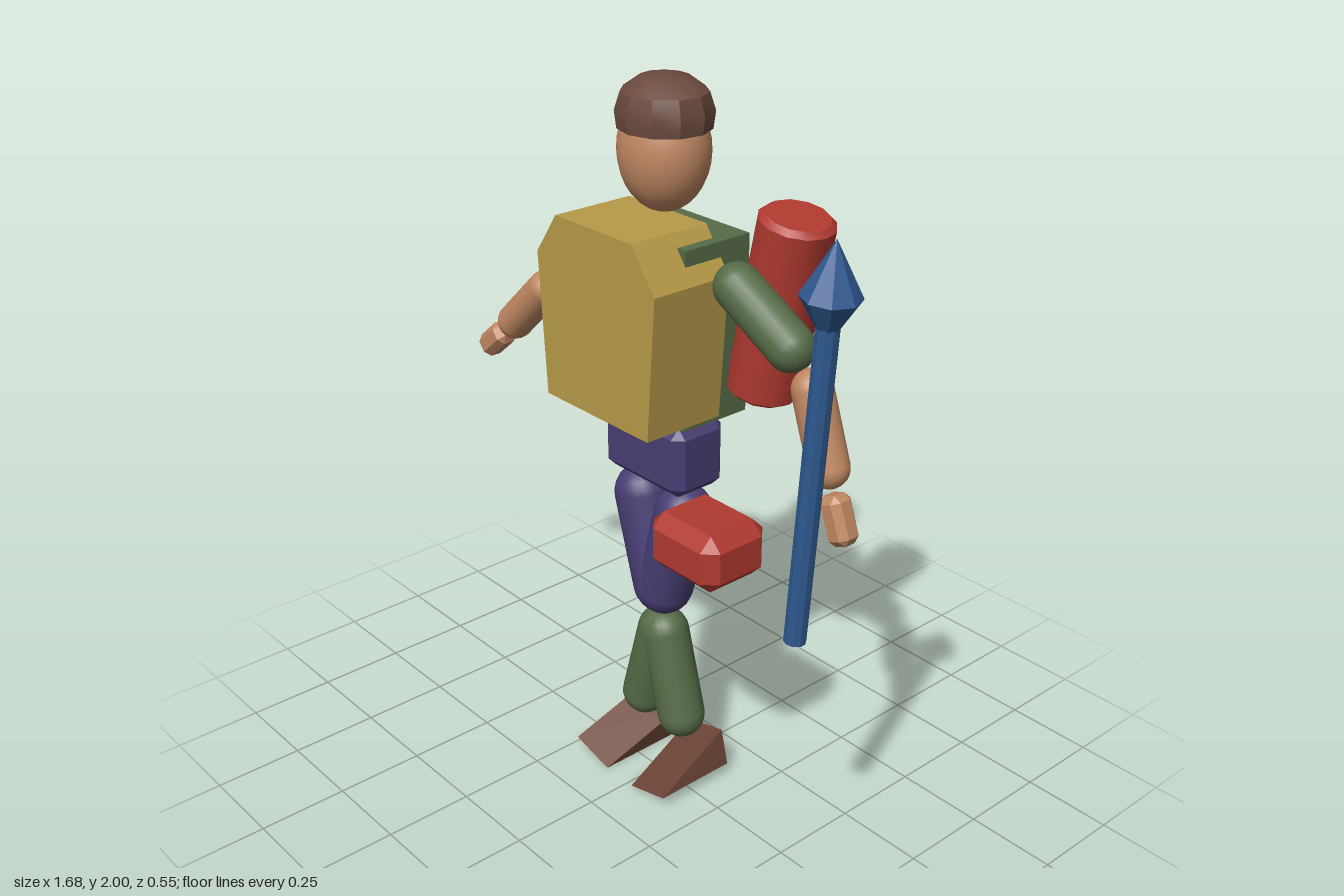
import * as THREE from 'three';
import { ConvexGeometry } from 'three/addons/geometries/ConvexGeometry.js';
import { toCreasedNormals } from 'three/addons/utils/BufferGeometryUtils.js';

const COLORS = {
  hat: 0x6b4a3e, skin: 0xc08862, green: 0x566b47, yellow: 0xb89a48,
  purple: 0x483e73, red: 0xb03a30, blue: 0x2f5a91, boot: 0x6b4436,
};
const materials = {};
for (const key in COLORS) materials[key] = new THREE.MeshStandardMaterial({ color: COLORS[key] });

const BODY_Z = -0.05;
const UP = new THREE.Vector3(0, 1, 0);

// Box with all edges and corners cut off at 45 degrees
function chamferBox(w, h, d, c) {
  const points = [];
  const half = [w / 2, h / 2, d / 2];
  for (const sx of [-1, 1]) for (const sy of [-1, 1]) for (const sz of [-1, 1]) {
    for (let axis = 0; axis < 3; axis++) {
      const p = half.map((v, i) => (i === axis ? v : v - c));
      points.push(new THREE.Vector3(sx * p[0], sy * p[1], sz * p[2]));
    }
  }
  return new ConvexGeometry(points);
}

function lathe(profile, sides, crease = 0.6) {
  const points = profile.map(([r, y]) => new THREE.Vector2(r, y));
  return toCreasedNormals(new THREE.LatheGeometry(points, sides), crease);
}

export function createModel() {
  const model = new THREE.Group();

  function add(name, geometry, color, x = 0, y = 0, z = 0) {
    const mesh = new THREE.Mesh(geometry, materials[color]);
    mesh.name = name;
    mesh.position.set(x, y, z);
    model.add(mesh);
    return mesh;
  }

  // Capsule between the centres of its two round ends
  function limb(name, color, radius, [x1, y1], [x2, y2]) {
    const a = new THREE.Vector3(x1, y1, BODY_Z);
    const b = new THREE.Vector3(x2, y2, BODY_Z);
    const direction = b.clone().sub(a);
    const mesh = add(name, new THREE.CapsuleGeometry(radius, direction.length(), 6, 20), color);
    mesh.position.copy(a).add(b).multiplyScalar(0.5);
    mesh.quaternion.setFromUnitVectors(UP, direction.normalize());
  }

  // Head and cap
  const head = add('head', new THREE.SphereGeometry(1, 24, 16), 'skin', -0.037, 1.81, BODY_Z);
  head.scale.set(0.122, 0.155, 0.114);
  const cap = add('cap', lathe([
    [0, 1.865], [0.121, 1.865], [0.127, 1.91], [0.112, 1.955], [0.065, 1.988], [0, 2.0],
  ], 11, 0.5), 'hat', -0.035, 0, BODY_Z);
  cap.scale.z = 0.96;

  // Torso and pelvis
  add('torso', new THREE.BoxGeometry(0.393, 0.475, 0.21), 'green', -0.036, 1.386, BODY_Z);
  add('pelvis', chamferBox(0.306, 0.197, 0.174, 0.027), 'purple', -0.037, 1.021, BODY_Z);

  // Chest pack: hexagonal front outline, extruded forwards
  const outline = new THREE.Shape([
    [-0.233, 1.16], [0.163, 1.16], [0.19, 1.543], [0.107, 1.655], [-0.182, 1.655], [-0.26, 1.543],
  ].map(([x, y]) => new THREE.Vector2(x, y)));
  add('chestPack', new THREE.ExtrudeGeometry(outline, { depth: 0.238, bevelEnabled: false }),
    'yellow', 0, 0, -0.06);

  // Arms
  limb('rightUpperArm', 'green', 0.061, [-0.28, 1.525], [-0.45, 1.378]);
  limb('rightForearm', 'skin', 0.052, [-0.533, 1.308], [-0.683, 1.167]);
  limb('leftUpperArm', 'green', 0.061, [0.232, 1.53], [0.416, 1.43]);
  limb('leftForearm', 'skin', 0.052, [0.492, 1.348], [0.556, 1.167]);

  // Hands
  const handGeometry = chamferBox(0.07, 0.128, 0.068, 0.018);
  add('rightHand', handGeometry, 'skin', -0.778, 1.084, BODY_Z).rotation.z = -0.87;
  add('leftHand', handGeometry, 'skin', 0.598, 1.045, BODY_Z).rotation.z = 0.36;

  // Legs and wedge boots, mirrored about the body's centre line
  const wedge = new THREE.Shape([
    new THREE.Vector2(-0.122, -0.053), new THREE.Vector2(0.122, -0.053), new THREE.Vector2(-0.122, 0.053),
  ]);
  const bootGeometry = new THREE.ExtrudeGeometry(wedge, { depth: 0.14, bevelEnabled: false });
  bootGeometry.translate(0, 0, -0.07).rotateY(-Math.PI / 2);
  for (const [side, s] of [['left', 1], ['right', -1]]) {
    const x = (offset) => -0.037 + s * offset;
    limb(side + 'Thigh', 'purple', 0.08, [x(0.083), 0.84], [x(0.005), 0.58]);
    limb(side + 'Shin', 'green', 0.067, [x(0.008), 0.435], [x(0.077), 0.19]);
    add(side + 'Boot', bootGeometry, 'boot', x(0.109), 0.073, -0.005).rotation.z = s * 0.25;
  }

  // Rolled bundle on the back and pouch at the hip
  add('backRoll', lathe([
    [0, -0.25], [0.082, -0.25], [0.098, -0.236], [0.098, 0.236], [0.082, 0.25], [0, 0.25],
  ], 12), 'red', 0.247, 1.452, -0.18).rotation.z = -0.214;
  add('hipPouch', chamferBox(0.246, 0.158, 0.212, 0.036), 'red', 0.267, 0.885, 0.069);

  // Spear, leaning slightly to the left
  const spear = new THREE.Group();
  spear.name = 'spear';
  spear.position.set(0.714, 0.87, 0.208);
  spear.rotation.z = -0.07;
  const shaft = new THREE.Mesh(lathe([[0, 0], [0.027, 0], [0.027, 0.8], [0, 0.8]], 10), materials.blue);
  shaft.name = 'spearShaft';
  const tip = new THREE.Mesh(lathe([[0.022, 0.78], [0.068, 0.857], [0, 0.983]], 8, 0.5), materials.blue);
  tip.name = 'spearHead';
  spear.add(shaft, tip);
  model.add(spear);

  return model;
}
